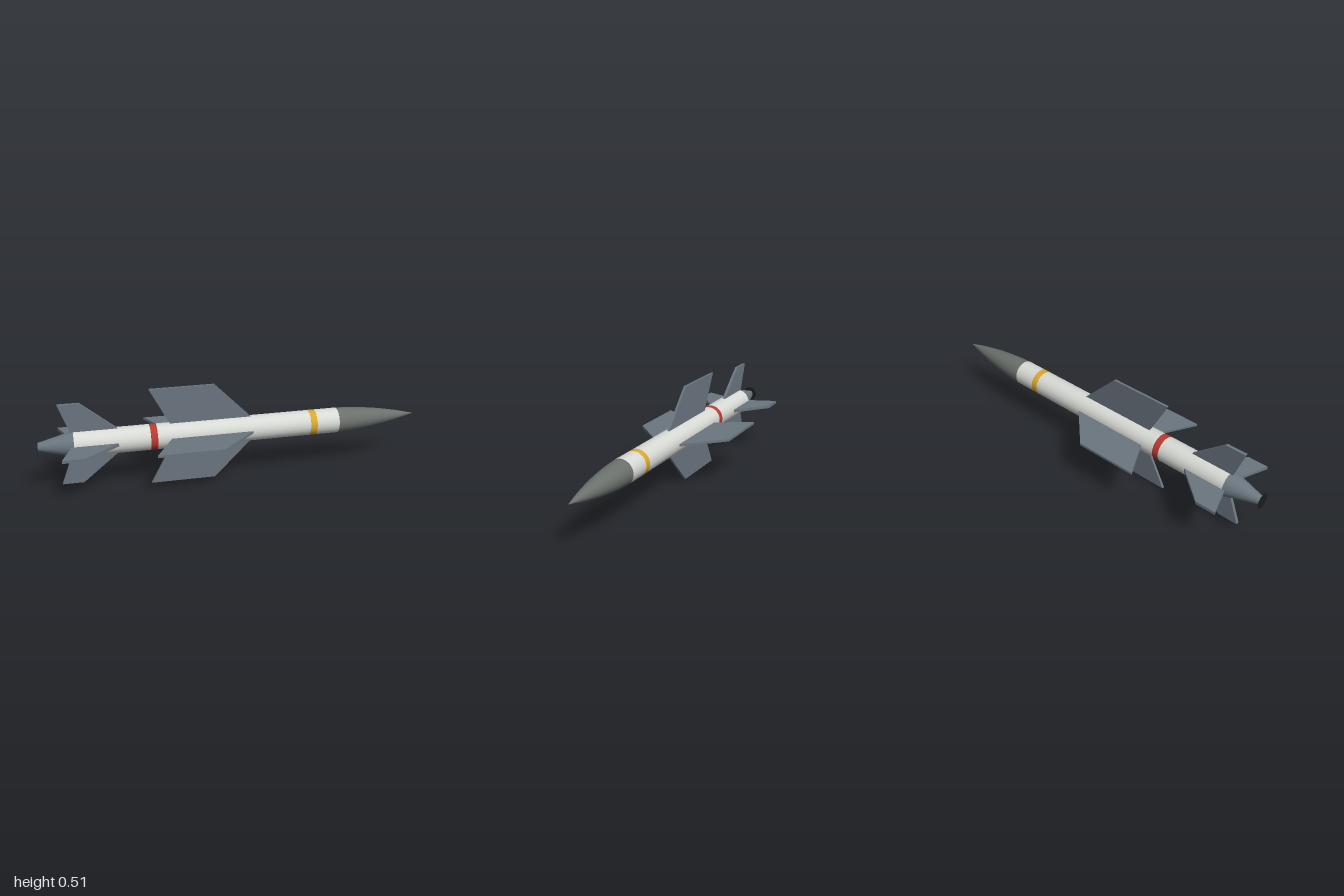
import * as THREE from 'three';

const AXIS_Y = 0.2565;
const RADIUS = 0.066;
const SEGMENTS = 32;

const paint = (color, side = THREE.FrontSide) => new THREE.MeshStandardMaterial({ color, side });

export function createModel() {
  const model = new THREE.Group();
  model.name = 'missile';

  const white = paint(0xd8dad5);
  const slate = paint(0x6b7680);
  const noseGrey = paint(0x6a706b);
  const red = paint(0xb83a32);
  const yellow = paint(0xd9a92f);
  const black = paint(0x1c1c1e, THREE.DoubleSide);

  const add = (name, geometry, material) => {
    const mesh = new THREE.Mesh(geometry, material);
    mesh.name = name;
    model.add(mesh);
    return mesh;
  };

  // Round section along x, from x0 (radius r0) to x1 (radius r1)
  const section = (name, x0, x1, r0, r1, material, open = false) => {
    const geometry = new THREE.CylinderGeometry(r1, r0, x1 - x0, SEGMENTS, 1, open);
    geometry.rotateZ(-Math.PI / 2).translate((x0 + x1) / 2, AXIS_Y, 0);
    return add(name, geometry, material);
  };

  section('body', -0.82, 0.56, RADIUS, RADIUS, white);
  section('tailCone', -0.995, -0.82, 0.021, RADIUS, slate);
  section('rearBand', -0.438, -0.403, RADIUS + 0.0006, RADIUS + 0.0006, red);
  section('frontBand', 0.403, 0.438, RADIUS + 0.0006, RADIUS + 0.0006, yellow);

  // Exhaust disc closing the tail
  const disc = add('nozzleDisc', new THREE.CircleGeometry(0.04, SEGMENTS), black);
  disc.rotation.y = -Math.PI / 2;
  disc.position.set(-1, AXIS_Y, 0);

  // Curved nose, revolved about the body axis
  const curve = new THREE.SplineCurve([
    [RADIUS, 0.56], [0.0605, 0.66], [0.0465, 0.78], [0.025, 0.9], [0, 1],
  ].map(([r, x]) => new THREE.Vector2(r, x)));
  const profile = curve.getPoints(16);
  const nose = new THREE.LatheGeometry(profile, SEGMENTS);
  nose.rotateZ(-Math.PI / 2).translate(0, AXIS_Y, 0);
  add('nose', nose, noseGrey);

  // Four flat fins around the axis; outline points are [x, distance from axis]
  const finSet = (name, outline, thickness) => {
    const shape = new THREE.Shape(outline.map(([x, r]) => new THREE.Vector2(x, r)));
    const geometry = new THREE.ExtrudeGeometry(shape, { depth: thickness, bevelEnabled: false });
    geometry.translate(0, 0, -thickness / 2);
    ['Top', 'Left', 'Bottom', 'Right'].forEach((label, i) => {
      const fin = add(name + label, geometry, slate);
      fin.rotation.x = i * Math.PI / 2;
      fin.position.y = AXIS_Y;
    });
  };

  finSet('wing', [[-0.325, 0.05], [0.107, 0.05], [0.09, 0.066], [-0.1, 0.2565], [-0.435, 0.2565]], 0.0125);
  finSet('tailFin', [[-0.828, 0.05], [-0.58, 0.05], [-0.6, 0.066], [-0.78, 0.213], [-0.888, 0.213]], 0.016);

  return model;
}
